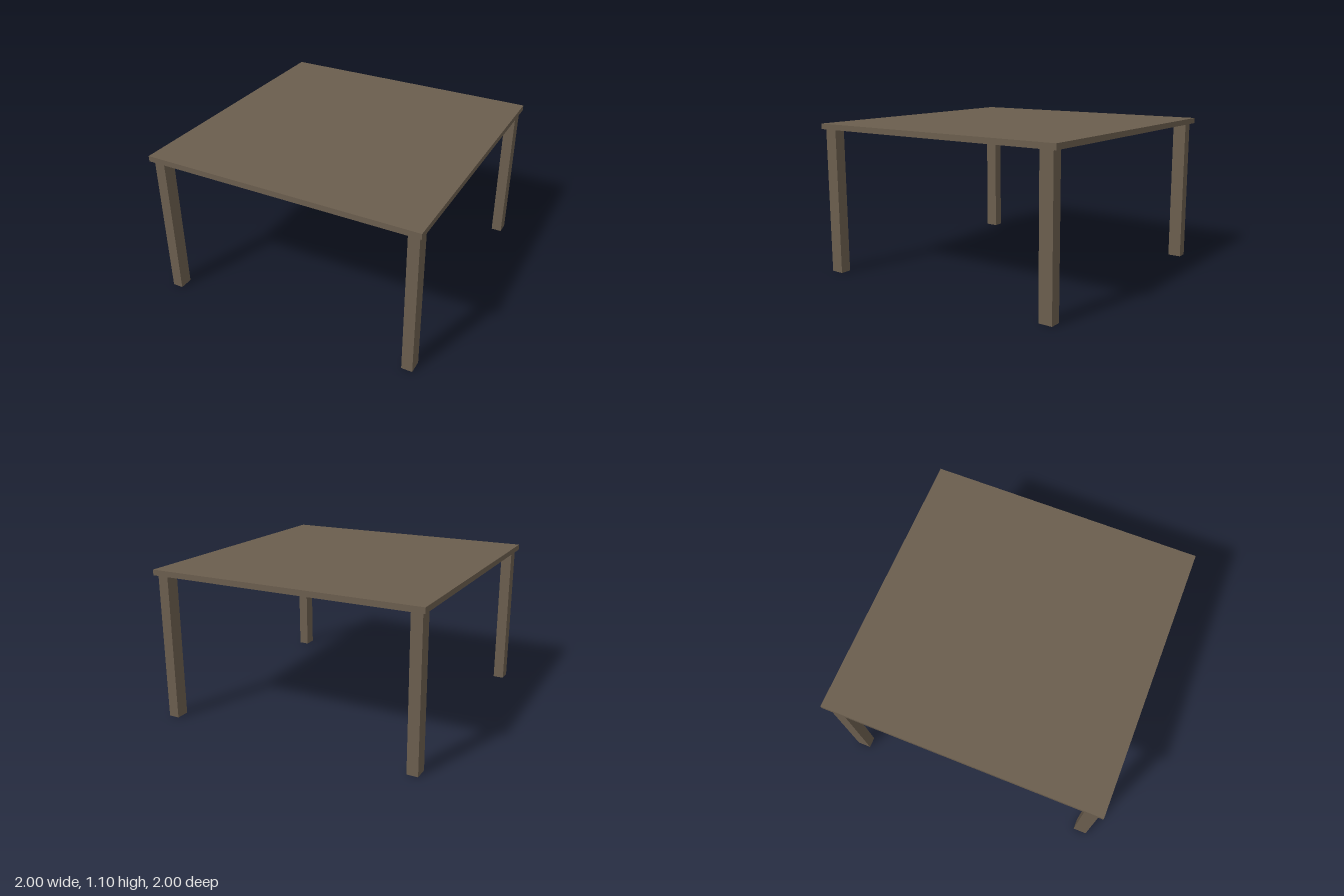
import * as THREE from 'three';

export function createModel() {
  const model = new THREE.Group();
  model.name = 'table';
  const wood = new THREE.MeshStandardMaterial({ color: 0x6b5e4e });

  const addBox = (name, w, h, d, x, y, z) => {
    const mesh = new THREE.Mesh(new THREE.BoxGeometry(w, h, d), wood);
    mesh.name = name;
    mesh.position.set(x, y, z);
    model.add(mesh);
  };

  // Thin square slab
  const legHeight = 1.06, topThickness = 0.04;
  addBox('tableTop', 2, topThickness, 2, 0, legHeight + topThickness / 2, 0);

  // Four straight legs, set slightly in from the corners
  for (const [side, x] of [['Left', 0.942], ['Right', -0.937]]) {
    for (const [end, z] of [['front', 0.925], ['back', -0.922]]) {
      addBox(`${end}${side}Leg`, 0.078, legHeight, 0.098, x, legHeight / 2, z);
    }
  }
  return model;
}
